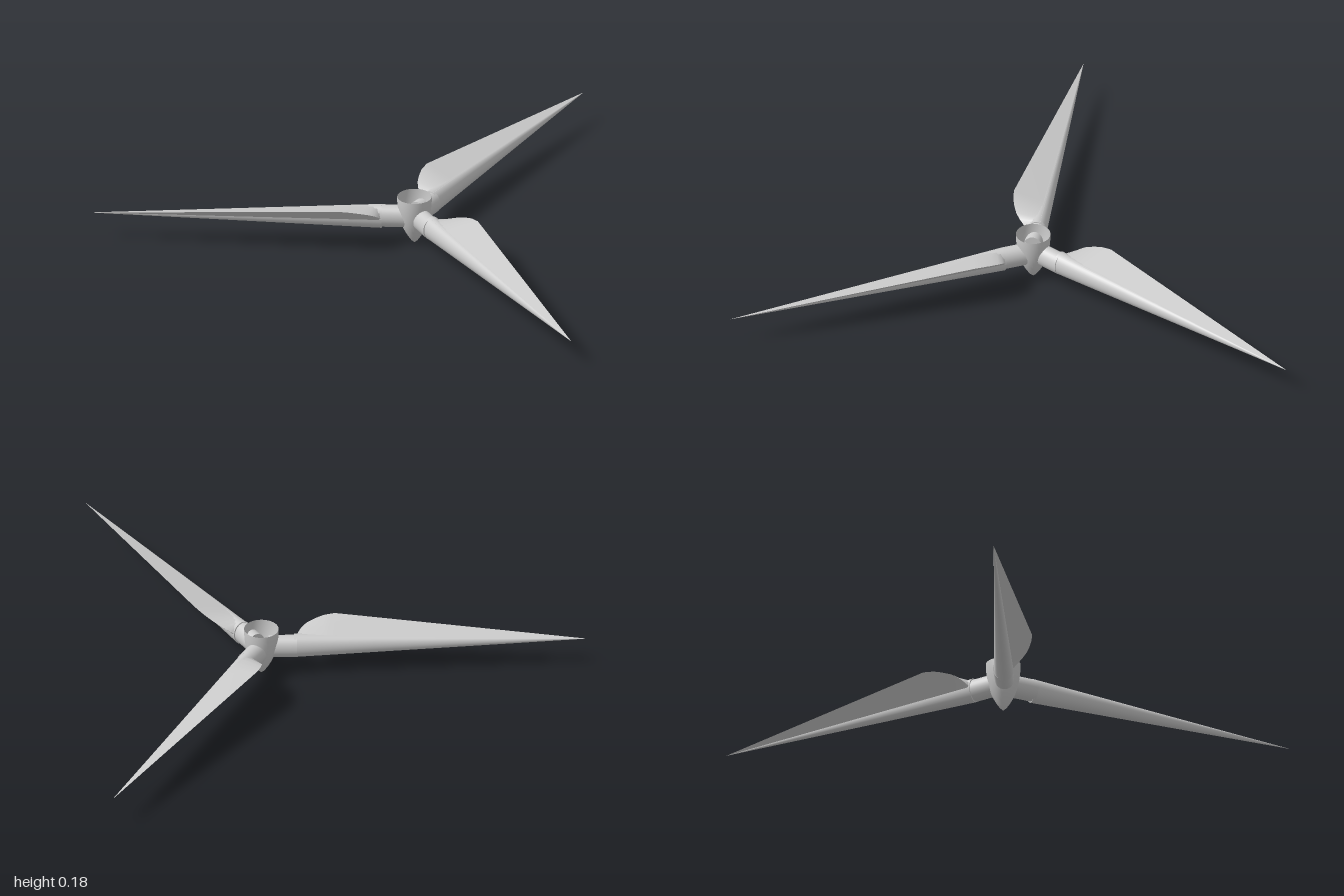
import * as THREE from 'three';

const HUB = { x: 0.015, z: -0.27 };
const AXIS_Y = 0.105;
const LENGTH = 1.15;

const material = new THREE.MeshStandardMaterial({ color: 0xcccccc, side: THREE.DoubleSide });

function part(geometry, name) {
  const mesh = new THREE.Mesh(geometry, material);
  mesh.name = name;
  return mesh;
}

// Skin a surface through equally long rows of points
function loft(rows) {
  const n = rows[0].length;
  const index = [];
  for (let i = 0; i < rows.length - 1; i++) {
    for (let j = 0; j < n - 1; j++) {
      const a = i * n + j, b = a + n;
      index.push(a, b, a + 1, b, b + 1, a + 1);
    }
  }
  const geometry = new THREE.BufferGeometry();
  geometry.setAttribute('position', new THREE.Float32BufferAttribute(rows.flat(2), 3));
  geometry.setIndex(index);
  geometry.computeVertexNormals();
  return geometry;
}

// Point on the tapering elliptical leading-edge spar
function sparPoint(z, angle) {
  const t = z / LENGTH, s = 1 - t;
  return [0.006 + 0.034 * t + 0.038 * s * Math.cos(angle), 0.049 * s * Math.sin(angle), z];
}

// Trailing edge: z, x, height above the blade axis
const trailingEdge = [
  [0.115, 0.037, 0.0], [0.125, 0.056, 0.015], [0.14, 0.076, 0.03], [0.16, 0.092, 0.042],
  [0.19, 0.105, 0.052], [0.22, 0.114, 0.06], [0.26, 0.119, 0.065],
  [0.5, 0.0977, 0.0475], [0.8, 0.0711, 0.0256], [LENGTH, 0.04, 0.0],
];

function createBlade() {
  const blade = new THREE.Group();
  blade.name = 'blade';

  // Collar joining the blade to the hub
  const collar = new THREE.CylinderGeometry(1, 1, 0.1, 32, 1);
  collar.rotateX(Math.PI / 2).scale(0.034, 0.041, 1).translate(0.006, 0, 0.075);
  blade.add(part(collar, 'bladeCollar'));

  // Rounded leading edge
  const rows = [0.115, 0.4, 0.7, 0.95, LENGTH].map((z) =>
    Array.from({ length: 33 }, (_, j) => sparPoint(z, (j / 32) * Math.PI * 2)));
  blade.add(part(loft(rows), 'leadingEdge'));
  const rootRing = rows[0].map((p) => [0.009, 0, p[2]]);
  blade.add(part(loft([rootRing, rows[0]]), 'leadingEdgeRoot'));

  // Upper and lower skins running out to the trailing edge
  const skin = (angle) => loft(trailingEdge.map(([z, x, y]) => {
    const edge = [x, y, z], root = sparPoint(z, angle);
    return angle > 0 ? [edge, root] : [root, edge];
  }));
  blade.add(part(skin(1.9), 'upperSkin'));
  blade.add(part(skin(0), 'lowerSkin'));
  return blade;
}

export function createModel() {
  const model = new THREE.Group();
  model.name = 'rotor';

  // Open-topped pointed hub
  const profile = [
    [0, 0], [0.012, 0.011], [0.025, 0.03], [0.038, 0.054], [0.048, 0.08],
    [0.055, 0.107], [0.059, 0.135], [0.061, 0.16], [0.061, 0.18],
  ].map(([r, y]) => new THREE.Vector2(r, y));
  const hub = part(new THREE.LatheGeometry(profile, 40), 'hub');
  hub.position.set(HUB.x, 0, HUB.z);
  model.add(hub);

  // Three equally spaced blades
  for (let i = 0; i < 3; i++) {
    const blade = createBlade();
    blade.position.set(HUB.x, AXIS_Y, HUB.z);
    blade.rotation.y = (i * Math.PI * 2) / 3;
    model.add(blade);
  }
  return model;
}
